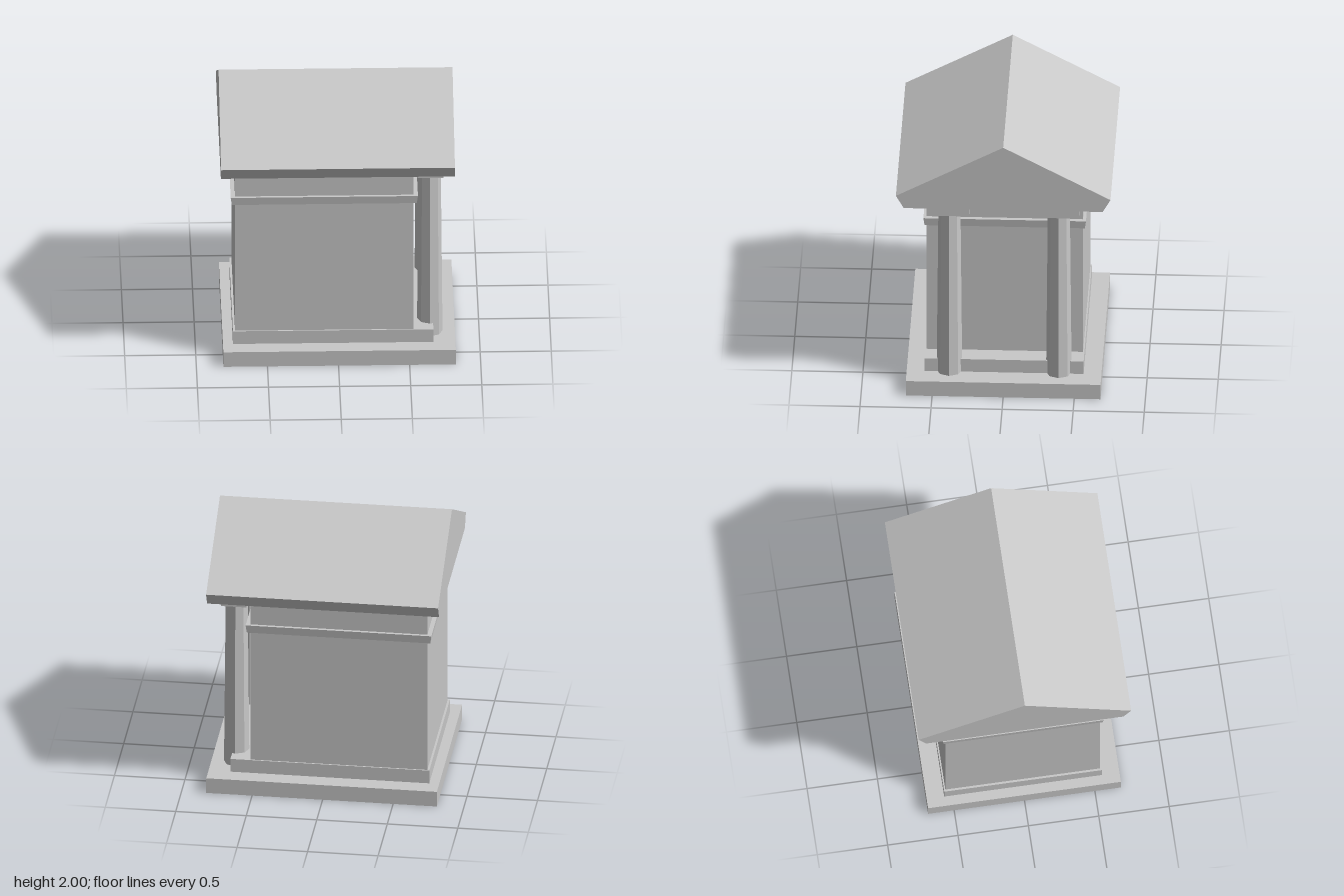
import * as THREE from 'three';

export function createModel() {
  const model = new THREE.Group();
  model.name = 'temple';
  const stone = new THREE.MeshStandardMaterial({ color: 0xc8c8c8 });
  stone.name = 'pale stone';

  function add(name, geometry, x = 0, y = 0, z = 0) {
    const mesh = new THREE.Mesh(geometry, stone);
    mesh.name = name;
    mesh.position.set(x, y, z);
    model.add(mesh);
    return mesh;
  }

  // Block from x0..x1, y0..y1, z0..z1; flare widens its top edge on all sides
  function block(name, x0, x1, y0, y1, z0, z1, flare = 0) {
    const g = new THREE.BoxGeometry(x1 - x0, y1 - y0, z1 - z0);
    const p = g.attributes.position;
    for (let i = 0; i < p.count; i++) {
      if (p.getY(i) > 0) {
        p.setX(i, p.getX(i) + Math.sign(p.getX(i)) * flare);
        p.setZ(i, p.getZ(i) + Math.sign(p.getZ(i)) * flare);
      }
    }
    g.computeVertexNormals();
    return add(name, g, (x0 + x1) / 2, (y0 + y1) / 2, (z0 + z1) / 2);
  }

  // Stepped base
  block('base', -0.81, 0.825, 0, 0.115, -0.685, 0.685);
  block('plinth', -0.74, 0.67, 0.115, 0.215, -0.56, 0.56);

  // Chamber and its mouldings
  block('chamber', -0.725, 0.53, 0.215, 1.5, -0.55, 0.55);
  block('stringCourse', -0.748, 0.553, 1.22, 1.28, -0.564, 0.564, 0.008);
  block('corniceLower', -0.741, 0.546, 1.43, 1.485, -0.557, 0.557);
  block('corniceUpper', -0.751, 0.55, 1.485, 1.5, -0.566, 0.566, 0.006);

  // Two octagonal tapered columns with square capitals
  for (const side of [1, -1]) {
    const column = new THREE.CylinderGeometry(0.078, 0.09, 1.285, 8).toNonIndexed();
    column.computeVertexNormals();
    add('column', column, 0.648, 0.7575, side * 0.385);
    block('capital', 0.56, 0.74, 1.4, 1.5, side * 0.385 - 0.145, side * 0.385 + 0.145);
  }

  // Gabled roof with undercut eaves, extruded along x
  const gable = new THREE.Shape([
    [-0.7, 1.5], [0.7, 1.5], [0.755, 1.597], [0, 2], [-0.755, 1.597],
  ].map(([a, b]) => new THREE.Vector2(a, b)));
  const roof = new THREE.ExtrudeGeometry(gable, { depth: 1.645, bevelEnabled: false });
  roof.rotateY(Math.PI / 2);
  add('roof', roof, -0.828, 0, 0);

  return model;
}
